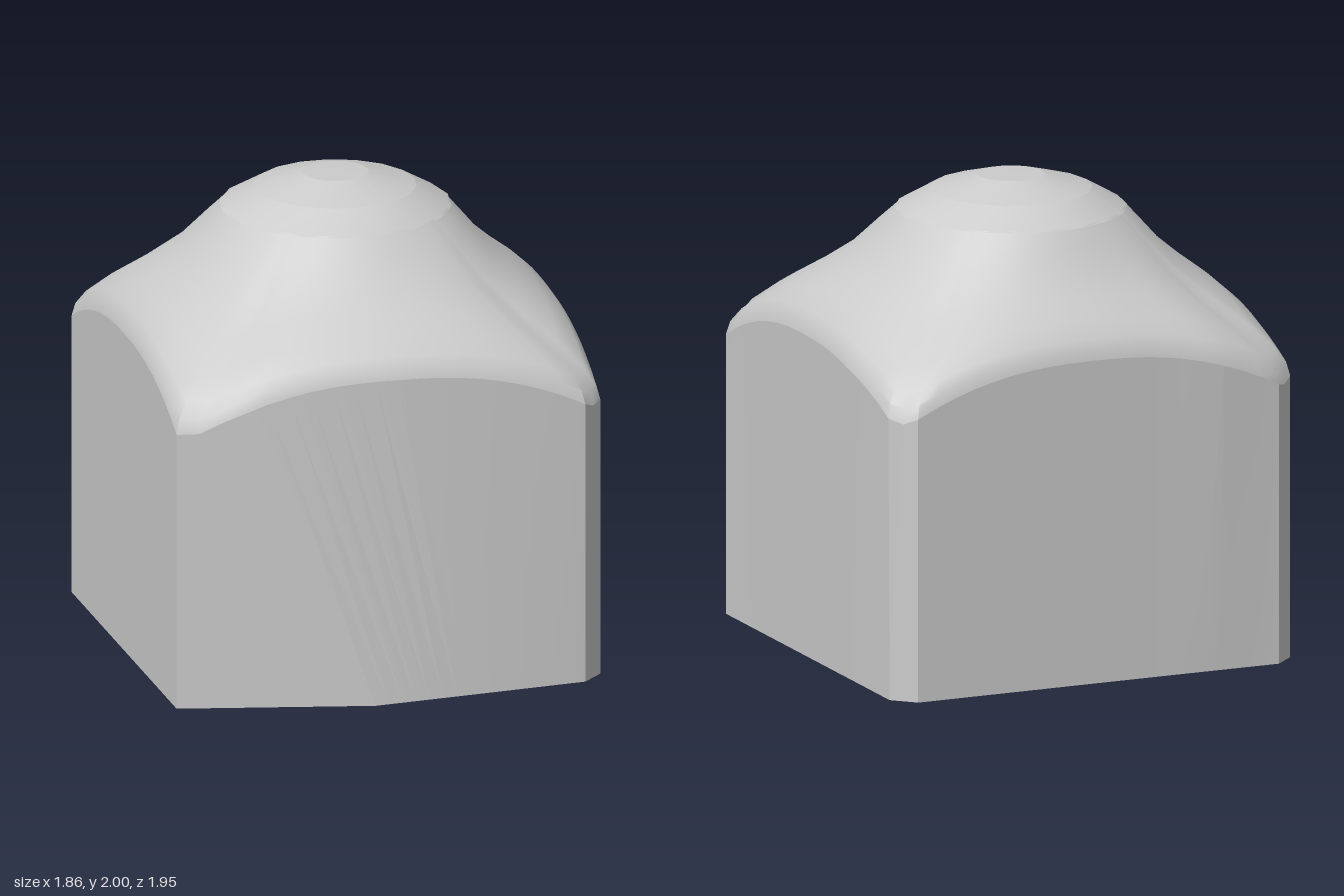
import * as THREE from 'three';
import { toCreasedNormals } from 'three/addons/utils/BufferGeometryUtils.js';

const CENTRE_Z = -0.105; // the dome sits slightly behind the middle
const material = new THREE.MeshStandardMaterial({ color: 0xcccccc });

// Outline corners: x, z at the base, then x, z at the rim
const OUTLINE = [
  [-0.93, 0.79, -0.93, 0.79], [-0.12, 0.97, -0.65, 0.85], [0.3, 0.93, 0, 0.88],
  [0.81, 0.88, 0.81, 0.88], [0.9, 0.79, 0.9, 0.79], [0.9, -0.3, 0.925, -0.5],
  [0.9, -0.87, 0.905, -0.87], [0.81, -0.96, 0.81, -0.96], [-0.3, -0.955, -0.32, -0.96],
  [-0.58, -0.955, -0.58, -0.975], [-0.84, -0.955, -0.84, -0.955], [-0.93, -0.87, -0.93, -0.87],
];

// Rim is highest at the middle of each side and drops at the corners
function rimHeight(x, z) {
  const u = Math.min(Math.abs(x), Math.abs(z + 0.05)) / 0.87;
  return 1.385 - 0.205 * Math.pow(Math.min(u, 1), 2.4);
}

// Skin over closed rings listed from bottom to top
function loft(name, rings, crease) {
  const positions = [];
  const n = rings[0].length;
  for (let r = 0; r < rings.length - 1; r++) {
    const a = rings[r], b = rings[r + 1];
    for (let i = 0; i < n; i++) {
      const j = (i + 1) % n;
      for (const p of [a[i], a[j], b[j], a[i], b[j], b[i]]) positions.push(p.x, p.y, p.z);
    }
  }
  const geometry = new THREE.BufferGeometry();
  geometry.setAttribute('position', new THREE.Float32BufferAttribute(positions, 3));
  const mesh = new THREE.Mesh(toCreasedNormals(geometry, crease), material);
  mesh.name = name;
  return mesh;
}

export function createModel() {
  const model = new THREE.Group();
  model.name = 'domedBlock';

  // Subdivide the outline, pairing base and rim points
  const base = [], rim = [];
  OUTLINE.forEach((p, k) => {
    const q = OUTLINE[(k + 1) % OUTLINE.length];
    const steps = Math.max(2, Math.round(Math.hypot(q[2] - p[2], q[3] - p[3]) / 0.09));
    for (let s = 0; s < steps; s++) {
      const [bx, bz, tx, tz] = p.map((v, c) => v + (q[c] - v) * s / steps);
      base.push(new THREE.Vector3(bx, 0, bz));
      rim.push(new THREE.Vector3(tx, rimHeight(tx, tz), tz));
    }
  });

  // Walls and flat underside
  model.add(loft('walls', [base, rim], 0.12));
  model.add(loft('underside', [base.map(() => new THREE.Vector3()), base], 0.1));

  // Sloping shoulder: blends from the rim to a circle; [outward fraction, drop fraction]
  const profile = [[1, 1], [0.975, 0.91], [0.91, 0.82], [0.75, 0.68], [0.53, 0.52], [0.31, 0.34], [0.14, 0.15], [0, 0]];
  const shoulder = profile.map(([f, drop]) => rim.map((p) => {
    const angle = Math.atan2(p.z - CENTRE_Z, p.x);
    const x = 0.472 * Math.cos(angle), z = CENTRE_Z + 0.472 * Math.sin(angle);
    return new THREE.Vector3(x + (p.x - x) * f, 1.862 + (p.y - 1.862) * drop, z + (p.z - z) * f);
  }));
  model.add(loft('shoulder', shoulder, 0.7));

  // Faceted dome
  const dome = [[0.485, 1.857], [0.34, 1.94], [0.14, 1.997], [0, 2]].map(([r, y]) =>
    Array.from({ length: 18 }, (_, i) => {
      const a = -i / 18 * Math.PI * 2;
      return new THREE.Vector3(r * Math.cos(a), y, CENTRE_Z + r * Math.sin(a));
    }));
  model.add(loft('dome', dome, 0.2));

  return model;
}
